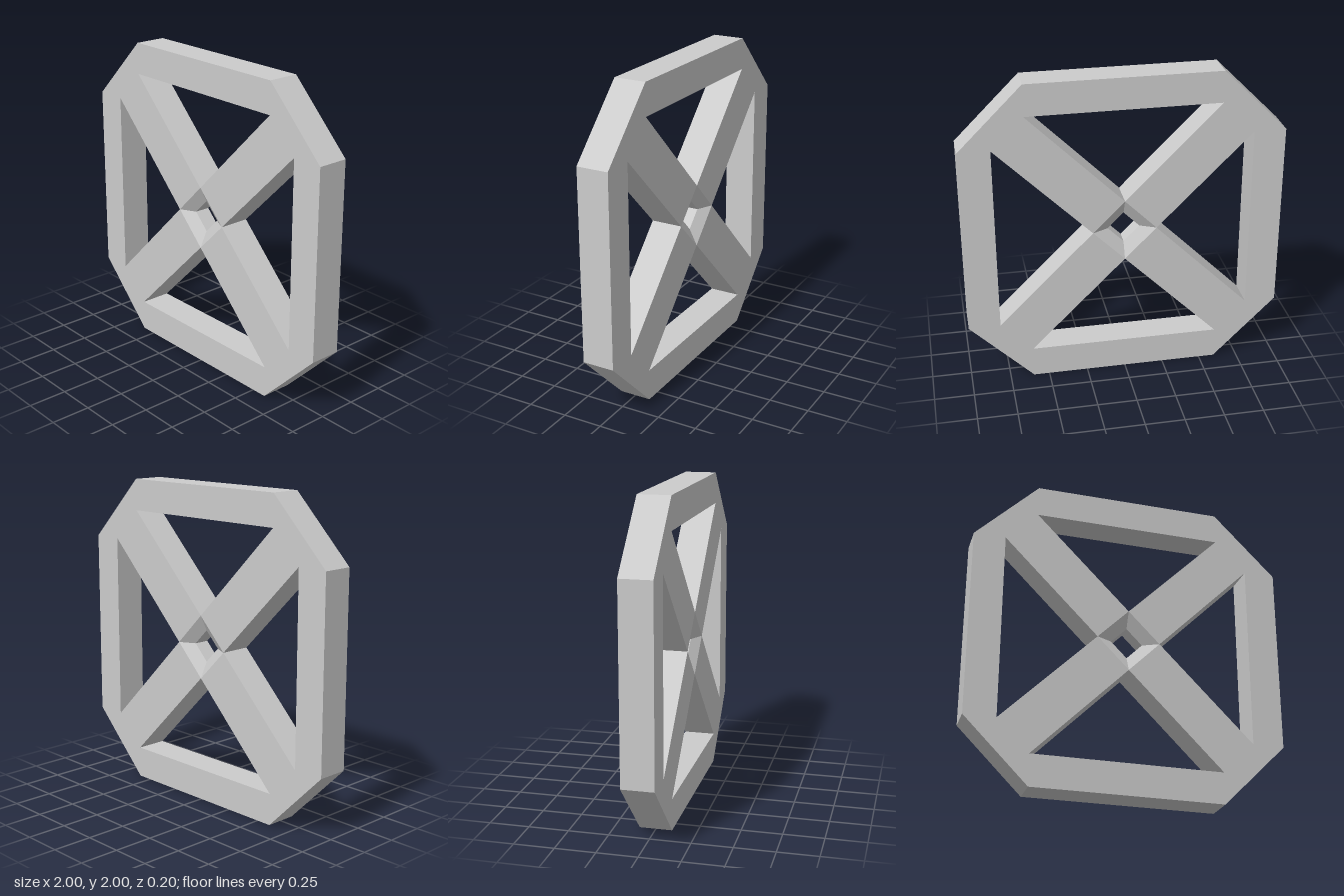
import * as THREE from 'three';

const HALF = 0.1; // half thickness of the frame

// Flat-shaded wall along a path, each ring a [scale, z] copy of the path.
function wall(path, rings) {
  const pos = [];
  const at = ([x, y], [s, z]) => [x * s, y * s, z];
  for (let i = 0; i < path.length - 1; i++) {
    for (let j = 0; j < rings.length - 1; j++) {
      const a = at(path[i], rings[j]), b = at(path[i + 1], rings[j]);
      const c = at(path[i + 1], rings[j + 1]), d = at(path[i], rings[j + 1]);
      pos.push(...a, ...b, ...c, ...a, ...c, ...d);
    }
  }
  const geo = new THREE.BufferGeometry();
  geo.setAttribute('position', new THREE.Float32BufferAttribute(pos, 3));
  geo.computeVertexNormals();
  return geo;
}

export function createModel() {
  const model = new THREE.Group();
  model.name = 'crossBracedFrame';
  const material = new THREE.MeshStandardMaterial({ color: 0xcccccc, flatShading: true });

  // One quarter of the frame, around the centre: half of two sides plus a diagonal brace
  const sideWindow = [[0.2, 0], [0.8, 0.6], [0.8, 0]];
  const rim = [[1, 0], [1, 0.6], [0.6, 1], [0, 1]];
  const topWindow = [[0, 0.8], [0.6, 0.8], [0, 0.2]];
  const hub = [[0, 0.2], [0.2, 0]];
  const outline = [...sideWindow, ...rim, ...topWindow].map(([x, y]) => new THREE.Vector2(x, y));

  const front = new THREE.ShapeGeometry(new THREE.Shape(outline));
  const back = front.clone().rotateY(Math.PI);
  front.translate(0, 0, HALF);
  back.translate(0, 0, -HALF);

  const straight = [[1, -HALF], [1, HALF]];
  const chamfered = [[1, -HALF], [0.5, -HALF / 2], [0.5, HALF / 2], [1, HALF]];
  const parts = {
    frontFace: front,
    backFace: back,
    outerRim: wall(rim, straight),
    sideWindowWall: wall(sideWindow, straight),
    topWindowWall: wall(topWindow, straight),
    hubOpening: wall(hub, chamfered), // diamond hole, flared on both faces
  };

  // Four quarters turned about the centre
  for (let q = 0; q < 4; q++) {
    const quarter = new THREE.Group();
    quarter.name = `frameQuarter${q + 1}`;
    for (const [name, geo] of Object.entries(parts)) {
      const mesh = new THREE.Mesh(geo, material);
      mesh.name = name;
      quarter.add(mesh);
    }
    quarter.position.y = 1;
    quarter.rotation.z = (q * Math.PI) / 2;
    model.add(quarter);
  }
  return model;
}
